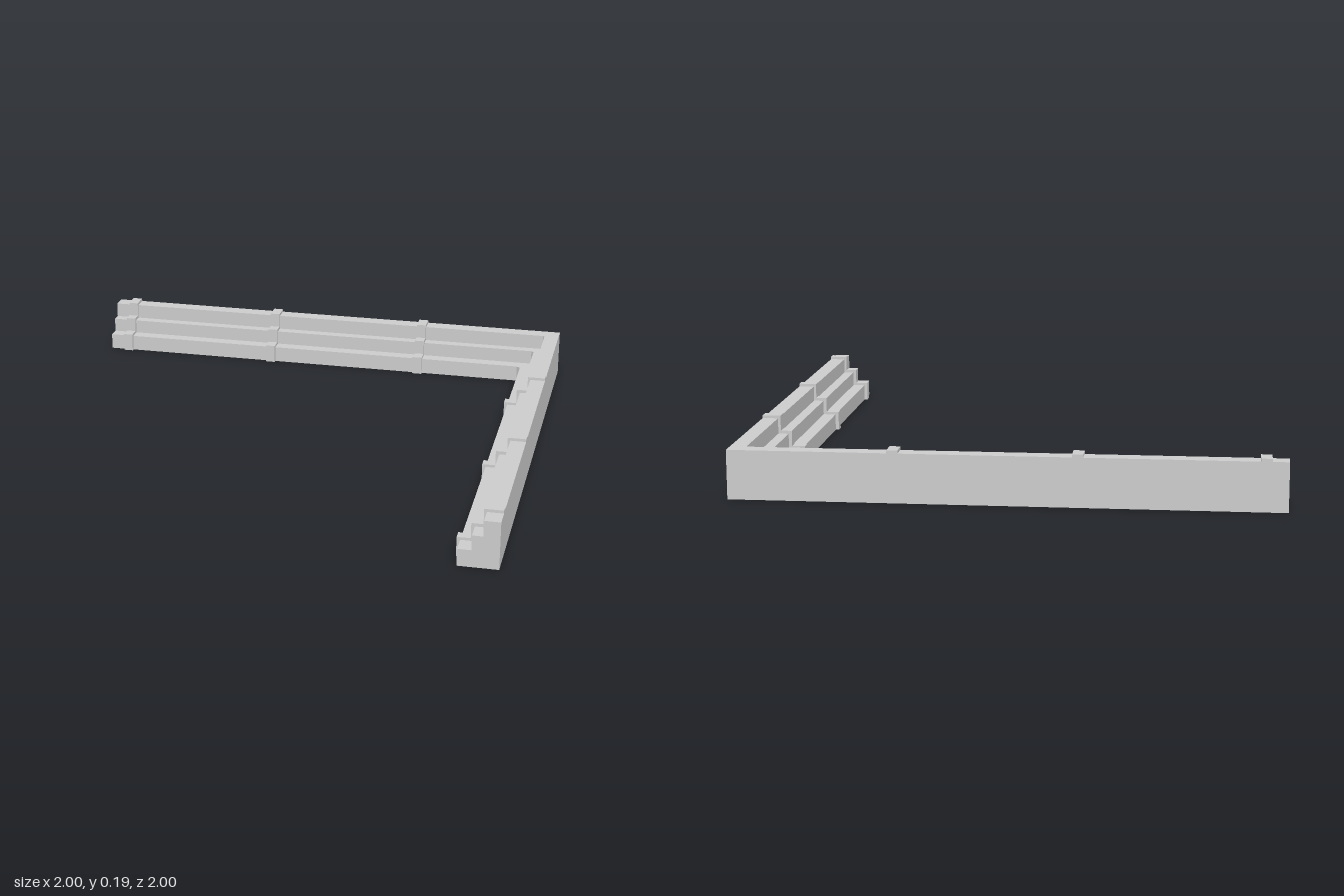
import * as THREE from 'three';

const material = new THREE.MeshStandardMaterial({ color: 0xcccccc, flatShading: true });

// Stepped section: [distance in from the outer wall, height]
const PROFILE = [
  [0, 0], [0.15, 0], [0.15, 0.065], [0.1, 0.065],
  [0.1, 0.122], [0.06, 0.122], [0.06, 0.182], [0, 0.182],
];

// Strap hugging the steps; its inner side is buried in the body
const STRAP = [
  [0.14, 0], [0.163, 0], [0.163, 0.075], [0.113, 0.075], [0.113, 0.134],
  [0.07, 0.134], [0.07, 0.193], [0, 0.193], [0, 0.172],
  [0.05, 0.172], [0.05, 0.112], [0.09, 0.112], [0.09, 0.055], [0.14, 0.055],
];

// Sweep the section along both arms, with a small chamfer in the inner corner
function steppedBody() {
  const sections = [
    (d, y) => new THREE.Vector3(-1, y, -1 + d),
    (d, y) => new THREE.Vector3(1 - d * 1.1, y, -1 + d),
    (d, y) => new THREE.Vector3(1 - d, y, -1 + d * 1.1),
    (d, y) => new THREE.Vector3(1 - d, y, 1),
  ].map((place) => PROFILE.map(([d, y]) => place(d, y)));
  const points = [];
  const triangle = (a, b, c) => {
    if (new THREE.Triangle(a, b, c).getArea() > 1e-9) points.push(a, b, c);
  };
  const n = PROFILE.length;
  for (let i = 0; i < sections.length - 1; i++) {
    for (let j = 0; j < n; j++) {
      const k = (j + 1) % n;
      const [s, t] = [sections[i], sections[i + 1]];
      triangle(s[j], t[j], t[k]);
      triangle(s[j], t[k], s[k]);
    }
  }
  // End caps
  const flat = PROFILE.map(([d, y]) => new THREE.Vector2(d, y));
  for (const [a, b, c] of THREE.ShapeUtils.triangulateShape(flat, [])) {
    triangle(sections[0][a], sections[0][b], sections[0][c]);
    triangle(sections[3][a], sections[3][c], sections[3][b]);
  }
  const geometry = new THREE.BufferGeometry().setFromPoints(points);
  geometry.computeVertexNormals();
  return geometry;
}

export function createModel() {
  const group = new THREE.Group();
  group.name = 'cornerSteps';

  const body = new THREE.Mesh(steppedBody(), material);
  body.name = 'steppedBody';
  group.add(body);

  // Three straps on each arm
  const width = 0.04;
  const shape = new THREE.Shape(STRAP.map(([d, y]) => new THREE.Vector2(d, y)));
  const strapGeometry = new THREE.ExtrudeGeometry(shape, { depth: width, bevelEnabled: false });
  strapGeometry.translate(0, 0, -width / 2);
  const addStrap = (name, x, z, turn) => {
    const strap = new THREE.Mesh(strapGeometry, material);
    strap.name = name;
    strap.position.set(x, 0, z);
    strap.rotation.y = turn;
    group.add(strap);
  };
  for (let i = 0; i < 3; i++) {
    addStrap(`backStrap${i + 1}`, -0.92 + i * 0.66, -1, -Math.PI / 2);
    addStrap(`leftStrap${i + 1}`, 1, -0.415 + i * 0.66, Math.PI);
  }
  return group;
}
